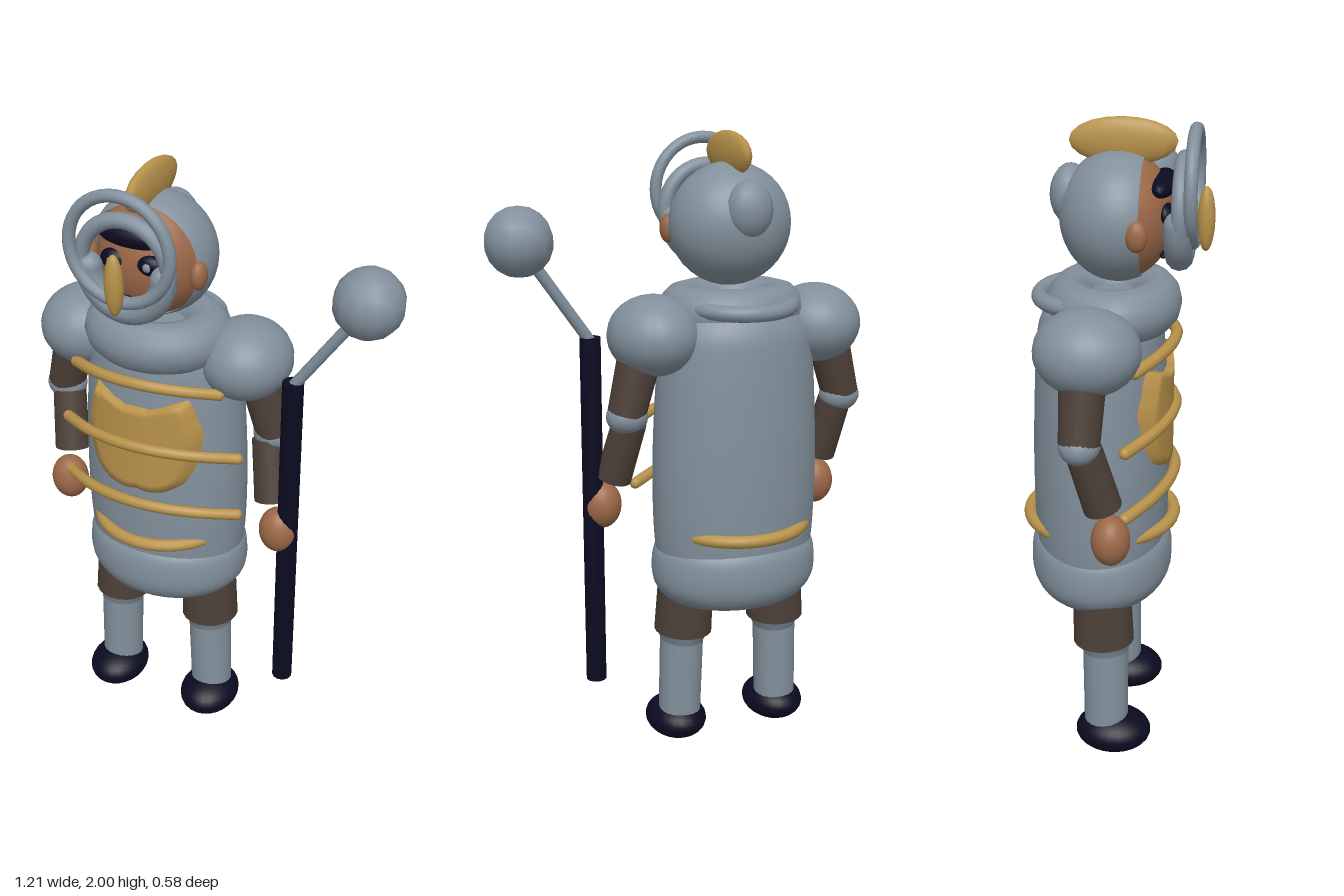
import * as THREE from 'three';

const mat = (name, color) => {
  const m = new THREE.MeshStandardMaterial({ color, side: THREE.DoubleSide });
  m.name = name;
  return m;
};
const steel = mat('steel', 0x82909c);
const gold = mat('gold', 0xb8924a);
const skin = mat('skin', 0x9c6848);
const leather = mat('leather', 0x4d4038);
const navy = mat('navy', 0x0b0b22);

const CX = -0.165; // body axis
const CZ = -0.045; // torso depth centre

export function createModel() {
  const root = new THREE.Group();
  root.name = 'armouredFigure';
  const body = new THREE.Group();
  body.name = 'body';
  body.position.x = CX;
  root.add(body);

  const add = (parent, name, geo, material, x = 0, y = 0, z = 0) => {
    const m = new THREE.Mesh(geo, material);
    m.name = name;
    m.position.set(x, y, z);
    parent.add(m);
    return m;
  };
  const ball = (parent, name, material, p, r, seg = 24) => {
    const m = add(parent, name, new THREE.SphereGeometry(1, seg, Math.ceil(seg * 0.7)), material, ...p);
    m.scale.set(...r);
    return m;
  };
  // tapered cylinder between two points
  const limb = (parent, name, material, a, b, ra, rb, seg = 20) => {
    const A = new THREE.Vector3(...a), B = new THREE.Vector3(...b);
    const d = B.clone().sub(A);
    const m = add(parent, name, new THREE.CylinderGeometry(rb, ra, d.length(), seg), material);
    m.position.copy(A).addScaledVector(d, 0.5);
    m.quaternion.setFromUnitVectors(new THREE.Vector3(0, 1, 0), d.normalize());
    return m;
  };
  const ring = (parent, name, material, p, R, r, arc = Math.PI * 2) =>
    add(parent, name, new THREE.TorusGeometry(R, r, 12, 40, arc), material, ...p);
  const lathe = (name, pts, sz) => {
    const curve = new THREE.CatmullRomCurve3(pts.map(([r, y]) => new THREE.Vector3(r, y, 0)));
    const prof = curve.getPoints(30).map(p => new THREE.Vector2(Math.max(p.x, 0), p.y));
    add(body, name, new THREE.LatheGeometry(prof, 40), steel, 0, 0, CZ).scale.z = sz;
  };

  // torso and padded skirt
  lathe('torso', [[0.255, 0.62], [0.268, 0.75], [0.272, 0.95], [0.265, 1.15], [0.252, 1.32], [0.235, 1.41], [0.18, 1.47], [0, 1.49]], 0.76);
  lathe('skirt', [[0, 0.51], [0.14, 0.508], [0.225, 0.525], [0.267, 0.575], [0.275, 0.64], [0.262, 0.7], [0.22, 0.73], [0, 0.74]], 0.8);

  // collar
  const gorget = ring(body, 'gorget', steel, [0, 1.46, -0.005], 0.155, 0.08);
  gorget.rotation.x = Math.PI / 2;
  gorget.scale.y = 0.85;
  const collar = ring(body, 'backCollar', steel, [0, 1.485, -0.06], 0.165, 0.025);
  collar.rotation.x = Math.PI / 2 - 0.05;

  // gold belt, buried at the flanks
  ring(body, 'belt', gold, [0, 0.77, CZ], 0.225, 0.02).rotation.x = Math.PI / 2;

  // gold straps across the chest
  for (const [y, w] of [[1.36, 0.245], [1.135, 0.3], [0.925, 0.3]]) {
    const pts = [-1, -0.65, -0.3, 0, 0.3, 0.65, 1].map(t =>
      new THREE.Vector3(t * w, y - 0.03 * t * t, 0.18 - 0.115 * t * t * (w / 0.3)));
    add(body, 'chestStrap', new THREE.TubeGeometry(new THREE.CatmullRomCurve3(pts), 32, 0.018, 8), gold);
    for (const p of [pts[0], pts[6]]) ball(body, 'strapEnd', gold, p.toArray(), [0.018, 0.018, 0.018], 10);
  }

  // notched breast emblem: disc with outline radius given by angle, domed onto the chest
  const outline = [[-90, 0.175], [-60, 0.2], [-40, 0.21], [-20, 0.2], [0, 0.197], [30, 0.215], [48, 0.243], [60, 0.18], [72, 0.15], [90, 0.145]];
  const radiusAt = deg => {
    const i = Math.max(1, outline.findIndex(o => o[0] >= deg - 1e-4));
    const [a, ra] = outline[i - 1], [b, rb] = outline[i];
    return ra + (rb - ra) * (deg - a) / (b - a);
  };
  const disc = new THREE.RingGeometry(0.001, 1, 60, 8);
  const dp = disc.attributes.position;
  for (let i = 0; i < dp.count; i++) {
    const x = dp.getX(i), y = dp.getY(i), q = Math.hypot(x, y);
    const r = radiusAt(Math.atan2(y, Math.abs(x)) * 180 / Math.PI);
    const px = x * r, py = y * r;
    dp.setXYZ(i, px, py, q > 0.99 ? 0.08 : 0.174 - 1.25 * px * px);
  }
  disc.computeVertexNormals();
  add(body, 'breastEmblem', disc, gold, 0, 1.13, 0);

  for (const s of [-1, 1]) {
    // leg
    const leg = new THREE.Group();
    leg.name = s > 0 ? 'leftLeg' : 'rightLeg';
    body.add(leg);
    limb(leg, 'thigh', leather, [s * 0.168, 0.4, -0.018], [s * 0.16, 0.6, -0.025], 0.095, 0.09);
    limb(leg, 'kneeCuff', steel, [s * 0.17, 0.36, -0.012], [s * 0.168, 0.405, -0.014], 0.07, 0.088);
    limb(leg, 'shin', steel, [s * 0.178, 0.07, -0.01], [s * 0.17, 0.38, -0.012], 0.07, 0.072);
    ball(leg, 'shoe', navy, [s * 0.181, 0.07, 0.013], [0.099, 0.065, 0.12]);

    // arm, the left one bent outward to the staff
    const arm = new THREE.Group();
    arm.name = s > 0 ? 'leftArm' : 'rightArm';
    body.add(arm);
    ball(arm, 'pauldron', steel, [s * 0.277, 1.4, -0.045], [0.143, 0.125, 0.154]);
    limb(arm, 'upperArm', leather, [s * 0.372, 1.16, -0.055], [s * 0.325, 1.34, -0.05], 0.06, 0.068);
    ball(arm, 'elbow', steel, [s * 0.37, 1.155, -0.055], [0.066, 0.055, 0.06]);
    const wx = s > 0 ? 0.395 : -0.33;
    limb(arm, 'forearm', leather, [wx, 0.945, 0.005], [s * 0.358, 1.135, -0.045], 0.057, 0.054);
    ball(arm, 'hand', skin, [s > 0 ? 0.427 : -0.332, s > 0 ? 0.853 : 0.84, 0.027], [0.062, 0.077, 0.058]);
  }

  // head
  const head = new THREE.Group();
  head.name = 'head';
  head.position.y = 1.72;
  body.add(head);
  ball(head, 'face', skin, [0, 0, 0.008], [0.172, 0.188, 0.162], 32);
  const shell = new THREE.SphereGeometry(1, 36, 24, 0, Math.PI * 2, 0, Math.PI * 0.64);
  shell.rotateX(-Math.PI / 2);
  add(head, 'helmet', shell, steel, 0, 0, 0.01).scale.set(0.194, 0.19, 0.172);
  ball(head, 'helmetKnob', steel, [0, 0.055, -0.13], [0.075, 0.09, 0.06], 14);
  ball(head, 'crest', gold, [0, 0.212, 0.022], [0.028, 0.068, 0.158], 14);

  // face details
  ball(head, 'brow', navy, [0, 0.095, 0.135], [0.115, 0.035, 0.04]);
  ball(head, 'mouth', navy, [0, -0.1, 0.145], [0.075, 0.015, 0.02]);
  for (const s of [-1, 1]) {
    ball(head, 'ear', skin, [s * 0.178, -0.015, 0.08], [0.025, 0.045, 0.032], 14);
    ball(head, 'eye', navy, [s * 0.058, 0.022, 0.15], [0.044, 0.032, 0.025], 16);
    ball(head, 'pupil', steel, [s * 0.058, 0.022, 0.17], [0.014, 0.014, 0.01], 12);
  }

  // open visor rings, chin guard and nose guard
  ring(head, 'raisedVisorRing', steel, [0, 0.088, 0.226], 0.16, 0.019);
  ring(head, 'visorRing', steel, [0, 0.025, 0.195], 0.14, 0.024);
  ring(head, 'chinGuard', steel, [0, 0.005, 0.188], 0.12, 0.04, Math.PI).rotation.z = Math.PI;
  for (const s of [-1, 1]) ball(head, 'chinGuardEnd', steel, [s * 0.12, 0.005, 0.188], [0.04, 0.04, 0.04], 14);
  ball(head, 'noseGuard', gold, [0, -0.005, 0.26], [0.029, 0.095, 0.026], 14);

  // staff with round mace head
  const staff = new THREE.Group();
  staff.name = 'staff';
  root.add(staff);
  limb(staff, 'shaft', navy, [0.293, 0.255, 0.025], [0.293, 1.395, 0.025], 0.033, 0.033, 12);
  limb(staff, 'rod', steel, [0.295, 1.385, 0.022], [0.48, 1.65, 0.022], 0.018, 0.018, 10);
  ball(staff, 'maceHead', steel, [0.508, 1.697, 0.022], [0.105, 0.105, 0.105], 12);

  return root;
}
